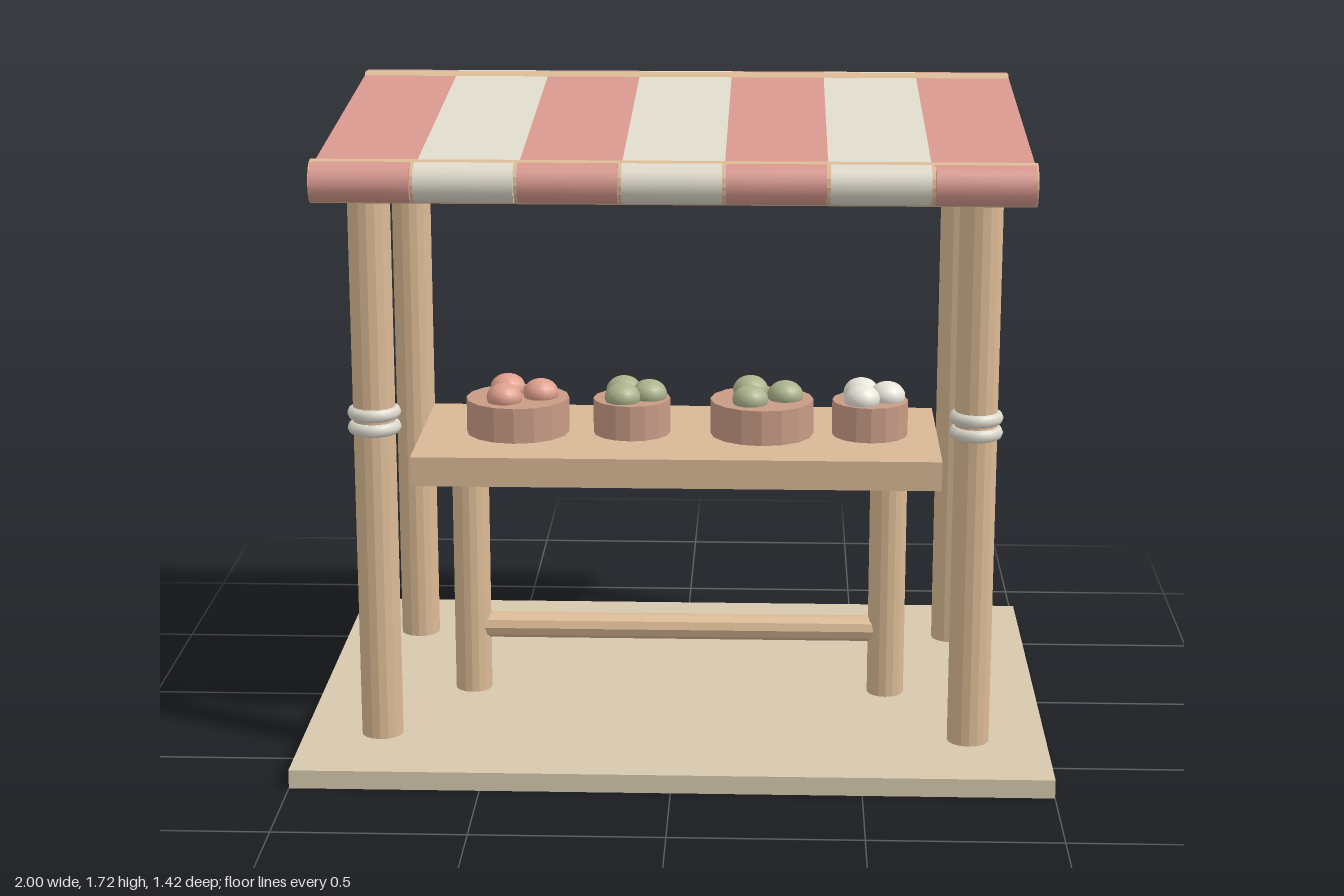
import * as THREE from 'three';

const mat = (color, flatShading = false) => new THREE.MeshStandardMaterial({ color, flatShading });

export function createModel() {
  const model = new THREE.Group();
  const wood = mat(0xdcbb96, true);
  const plank = mat(0xd8b896);
  const ground = mat(0xd6c9ae);
  const basketMat = mat(0xc99c86, true);
  const rope = mat(0xdcd8cc);
  const red = mat(0xd9998f);
  const cream = mat(0xe0dbcd);

  const add = (name, geometry, material, x, y, z, parent = model) => {
    const mesh = new THREE.Mesh(geometry, material);
    mesh.name = name;
    mesh.position.set(x, y, z);
    parent.add(mesh);
    return mesh;
  };
  const upright = (name, r, y0, y1, x, z, material = wood) =>
    add(name, new THREE.CylinderGeometry(r, r, y1 - y0, 16), material, x, (y0 + y1) / 2, z);
  const crossbar = (name, r, length, x, y, z, material = wood, sides = 16) => {
    const bar = add(name, new THREE.CylinderGeometry(r, r, length, sides), material, x, y, z);
    bar.rotation.z = Math.PI / 2;
    return bar;
  };

  // Floor
  add('floor', new THREE.BoxGeometry(2, 0.05, 1.42), ground, 0, 0.025, 0);

  // Posts, rope bindings on the front pair, and counter legs
  for (const side of [-1, 1]) {
    upright('frontPost', 0.056, 0.05, 1.58, side * 0.79, 0.422);
    upright('backPost', 0.056, 0.05, 1.58, side * 0.79, -0.422);
    for (const y of [0.907, 0.947]) {
      const ring = add('ropeBinding', new THREE.TorusGeometry(0.053, 0.018, 8, 24), rope, side * 0.79, y, 0.422);
      ring.rotation.x = Math.PI / 2;
    }
    upright('counterLeg', 0.051, 0.05, 0.73, side * 0.58, 0.053);
  }

  // Counter
  add('counterTop', new THREE.BoxGeometry(1.42, 0.08, 0.575), plank, 0, 0.76, 0.053);
  crossbar('stretcher', 0.036, 1.14, 0, 0.235, 0.053, wood, 10);

  // Roof beams
  crossbar('frontBeam', 0.057, 1.84, 0, 1.58, 0.53);
  crossbar('backBeam', 0.056, 1.84, 0, 1.665, -0.493);

  // Striped canopy with a rolled front edge
  const stripes = 7, width = 1.84 / stripes;
  const canopy = new THREE.Group();
  canopy.name = 'canopy';
  canopy.position.set(0, 1.65, 0);
  canopy.rotation.x = 0.098;
  model.add(canopy);
  for (let i = 0; i < stripes; i++) {
    const x = (i - (stripes - 1) / 2) * width;
    const cloth = i % 2 ? cream : red;
    add('canopyStripe', new THREE.BoxGeometry(width, 0.03, 1.08), cloth, x, 0, 0, canopy);
    crossbar('rolledEdge', 0.052, width - 0.01, x, 1.582, 0.553, cloth);
  }

  // Baskets of produce, three pieces in each
  const baskets = [
    [-0.445, 0.142, 0xdf9f8c],
    [-0.13, 0.106, 0xacb28c],
    [0.228, 0.142, 0xacb28c],
    [0.525, 0.104, 0xe8e5da],
  ];
  const produceGeometry = new THREE.SphereGeometry(0.049, 16, 12).scale(1, 0.8, 1);
  for (const [x, r, color] of baskets) {
    upright('basket', r, 0.8, 0.897, x, 0.053, basketMat);
    const skin = mat(color);
    for (let k = 0; k < 3; k++) {
      const a = (k * Math.PI * 2) / 3;
      add('produce', produceGeometry, skin, x + Math.cos(a) * r * 0.45, 0.909, 0.053 + Math.sin(a) * r * 0.45);
    }
  }

  return model;
}
